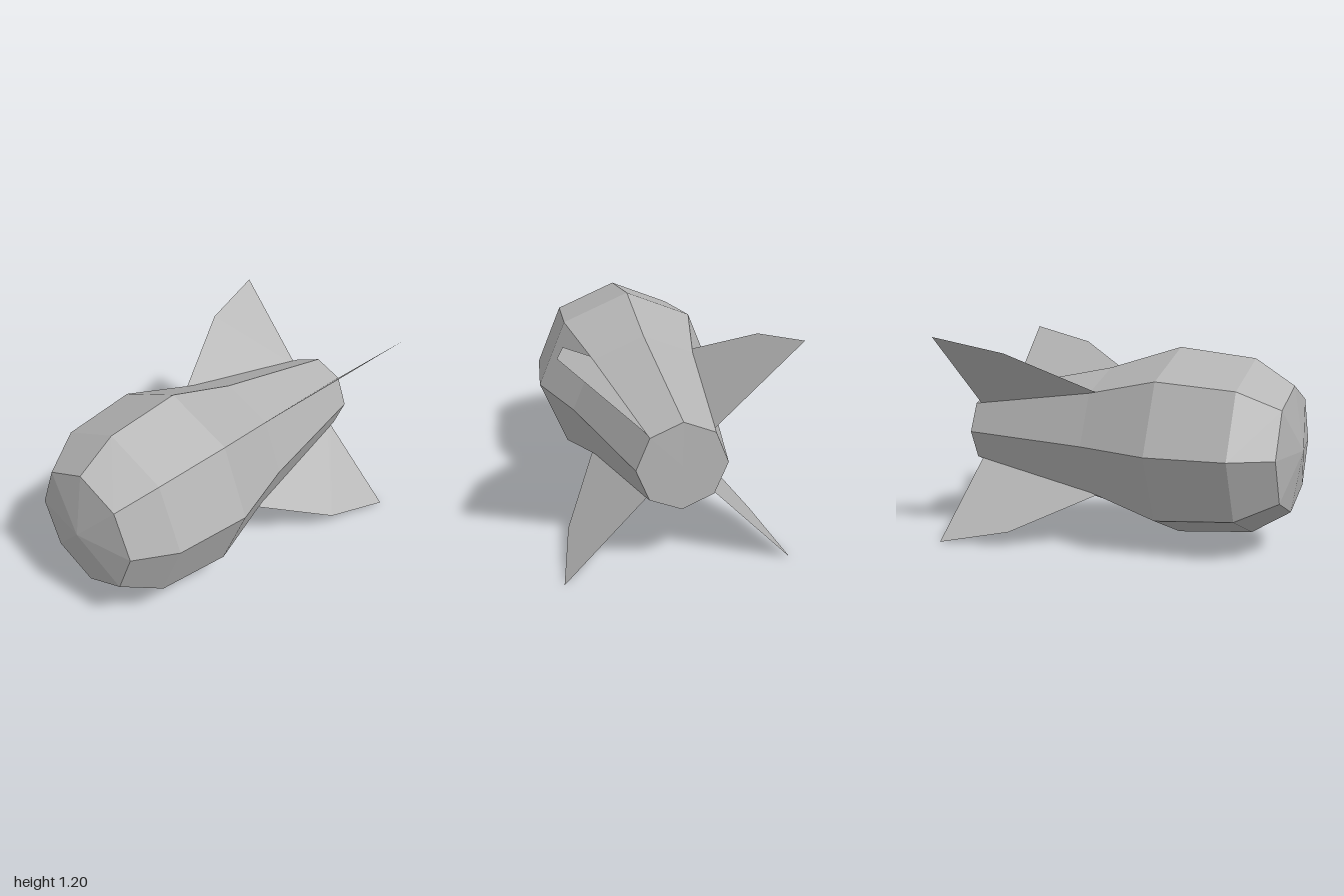
import * as THREE from 'three';

export function createModel() {
  const model = new THREE.Group();
  const grey = new THREE.MeshStandardMaterial({ color: 0xb4b4b4, flatShading: true, side: THREE.DoubleSide });
  grey.name = 'grey';

  // Eight-sided casing: [radius, z] from the tail cap to the blunt nose
  const profile = [[0, -1], [0.235, -1], [0.405, -0.16], [0.54, 0.28], [0.492, 0.72], [0.352, 0.94], [0, 1]];
  const bodyGeometry = new THREE.LatheGeometry(profile.map(([r, z]) => new THREE.Vector2(r, z)), 8);
  bodyGeometry.rotateX(Math.PI / 2);
  const body = new THREE.Mesh(bodyGeometry, grey);
  body.name = 'body';
  body.position.y = 0.6;
  model.add(body);

  // Flat swept fins on the four diagonal edges; outline is [radius, z]
  const outline = [[0.415, -0.11], [0.725, -0.575], [0.845, -0.99], [0.235, -0.96], [0.2, -0.96]];
  const finGeometry = new THREE.ShapeGeometry(new THREE.Shape(outline.map(([r, z]) => new THREE.Vector2(r, z))));
  finGeometry.rotateX(Math.PI / 2);
  const names = ['upperLeftFin', 'upperRightFin', 'lowerRightFin', 'lowerLeftFin'];
  names.forEach((name, i) => {
    const fin = new THREE.Mesh(finGeometry, grey);
    fin.name = name;
    fin.position.y = 0.6;
    fin.rotation.z = Math.PI / 4 + i * Math.PI / 2;
    model.add(fin);
  });

  return model;
}
